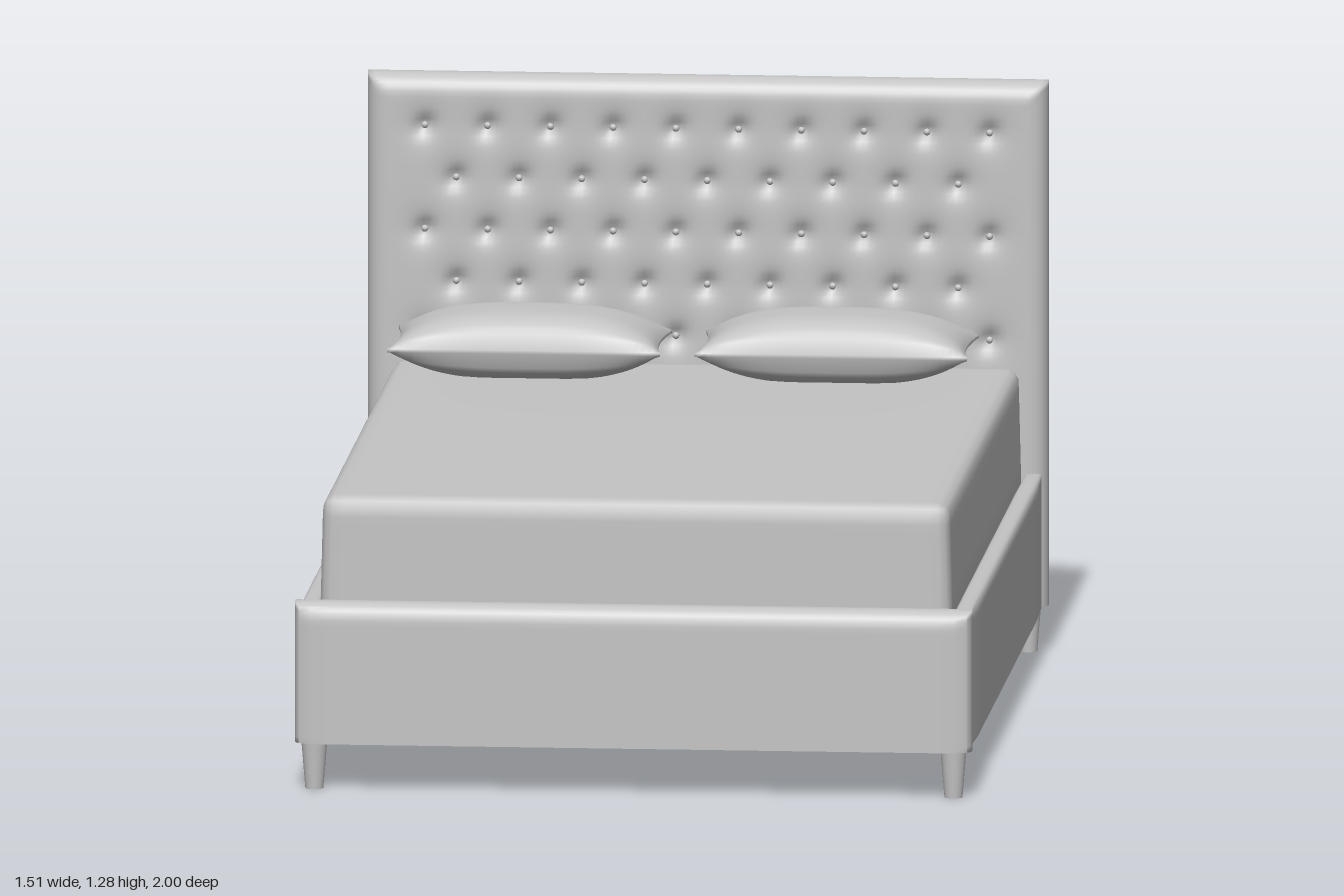
import * as THREE from 'three';
import { mergeVertices } from 'three/addons/utils/BufferGeometryUtils.js';

const fabric = new THREE.MeshStandardMaterial({ color: 0xc4c4c4 });
fabric.name = 'grey';

// Box grid welded into one smooth skin, each vertex moved by a rule
function mouldedBox(size, segments, rule) {
  let geo = new THREE.BoxGeometry(...size, ...segments);
  geo.deleteAttribute('uv');
  geo.deleteAttribute('normal');
  geo = mergeVertices(geo, 1e-5);
  const pos = geo.attributes.position;
  const p = new THREE.Vector3();
  for (let i = 0; i < pos.count; i++) {
    p.fromBufferAttribute(pos, i);
    rule(p);
    pos.setXYZ(i, p.x, p.y, p.z);
  }
  geo.computeVertexNormals();
  return geo;
}

// Padded box with edges of radius r, and an extra rule
function paddedBox(size, segments, r, extra) {
  const hi = new THREE.Vector3(...size).multiplyScalar(0.5).subScalar(r);
  const lo = hi.clone().negate();
  const inner = new THREE.Vector3();
  return mouldedBox(size, segments, (p) => {
    inner.copy(p).clamp(lo, hi);
    p.sub(inner).normalize().multiplyScalar(r).add(inner);
    extra(p);
  });
}

// Upright padded panel: rounded across z, square corners, flat underside
function paddedPanel(size, segments, r, extra = () => {}) {
  const half = new THREE.Vector3(...size).multiplyScalar(0.5);
  const hi = half.clone().subScalar(r);
  const lo = hi.clone().negate().setY(-half.y);
  const inner = new THREE.Vector3();
  return mouldedBox(size, segments, (p) => {
    inner.copy(p).clamp(lo, hi);
    p.sub(inner);
    const reach = Math.hypot(Math.max(Math.abs(p.x), Math.abs(p.y)), p.z) || 1;
    p.multiplyScalar(r / reach).add(inner);
    extra(p);
  });
}

export function createModel() {
  const bed = new THREE.Group();
  bed.name = 'bed';
  const add = (name, geo, x, y, z, parent = bed) => {
    const mesh = new THREE.Mesh(geo, fabric);
    mesh.name = name;
    mesh.position.set(x, y, z);
    parent.add(mesh);
    return mesh;
  };

  // Button positions: staggered rows of ten and nine
  const pitch = 0.139, rowGap = 0.116, topRow = 1.165;
  const buttons = [];
  for (let row = 0; row < 5; row++) {
    const count = row % 2 ? 9 : 10;
    for (let i = 0; i < count; i++) {
      buttons.push([(i - (count - 1) / 2) * pitch, topRow - row * rowGap]);
    }
  }

  // Headboard, dimpled at the buttons
  const headY = 0.6925;
  const tuft = (p) => {
    if (p.z < 0.03) return;
    const y = p.y + headY;
    for (const [bx, by] of buttons) {
      const d2 = (p.x - bx) ** 2 + (y - by) ** 2;
      if (d2 < 0.012) p.z -= 0.016 * Math.exp(-d2 / 0.0004) + 0.007 * Math.exp(-d2 / 0.002);
    }
  };
  add('headboard', paddedPanel([1.508, 1.175, 0.1], [120, 94, 10], 0.046, tuft), 0, headY, -0.95);

  const buttonGroup = new THREE.Group();
  buttonGroup.name = 'headboardButtons';
  bed.add(buttonGroup);
  const buttonGeo = new THREE.SphereGeometry(0.008, 10, 6);
  for (const [x, y] of buttons) add('button', buttonGeo, x, y, -0.92, buttonGroup);

  // Footboard and side rails
  add('footboard', paddedPanel([1.5, 0.315, 0.09], [40, 24, 10], 0.038), 0, 0.2625, 0.955);
  const railGeo = paddedPanel([1.83, 0.3, 0.046], [12, 30, 8], 0.016);
  railGeo.rotateY(Math.PI / 2);
  for (const s of [-1, 1]) add(s > 0 ? 'leftRail' : 'rightRail', railGeo, s * 0.723, 0.255, 0);

  // Mattress, crowned a little and slightly narrower at the top
  const mattressGeo = paddedBox([1.398, 0.445, 1.825], [60, 20, 76], 0.03, (p) => {
    p.x *= 1 - 0.035 * Math.max(p.y, 0);
    if (p.y > 0.2) p.y += 0.006 * Math.cos(p.x * 2.2) * Math.cos(p.z * 1.7);
  });
  add('mattress', mattressGeo, 0, 0.4225, 0.01);

  // Slats under the mattress
  const slatGeo = new THREE.BoxGeometry(1.4, 0.022, 0.085);
  for (let i = 0; i < 14; i++) add('slat', slatGeo, 0, 0.19, -0.835 + i * 0.128);

  // Pillows: plump in the middle, drawn out to a seam at the ends
  const pillowGeo = mouldedBox([2, 2, 2], [40, 1, 30], (p) => {
    const { x: u, z: v } = p;
    const puff = ((1 - Math.abs(u) ** 3) ** 0.75) * ((1 - Math.abs(v) ** 3.5) ** 0.5);
    p.x = u * (0.302 - 0.014 * (1 - v * v) * u * u);
    p.z = v * (0.154 - 0.004 * (1 - u * u) * v * v);
    p.y *= 0.004 + 0.073 * puff;
    p.y = Math.max(p.y, -0.066);
  });
  add('rightPillow', pillowGeo, -0.378, 0.715, -0.738);
  add('leftPillow', pillowGeo, 0.303, 0.715, -0.738);

  // Tapered legs
  const legGeo = new THREE.CylinderGeometry(0.03, 0.02, 0.12, 24);
  for (const x of [-0.708, 0.708]) {
    for (const z of [-0.955, 0.955]) add('leg', legGeo, x, 0.06, z);
  }
  return bed;
}
